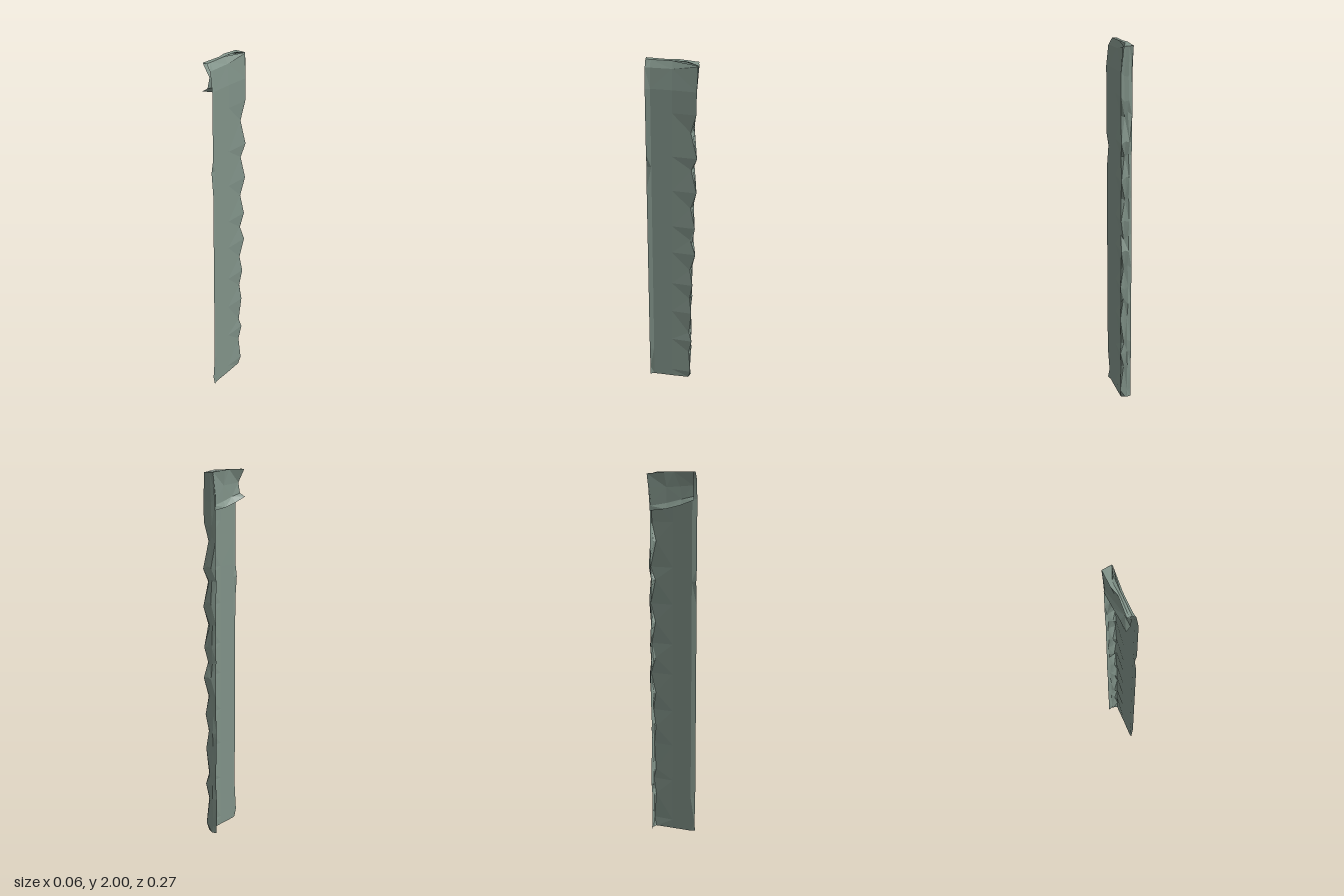
import * as THREE from 'three';

const stone = new THREE.MeshStandardMaterial({ color: 0x82948a, flatShading: true, side: THREE.DoubleSide });
stone.name = 'greyGreenStone';

// Faceted sheet from rows of points; columns run right and rows run up when seen from outside
function sheet(name, rows) {
  const pos = [];
  for (let i = 0; i < rows.length - 1; i++) {
    for (let j = 0; j < rows[i].length - 1; j++) {
      const a = rows[i][j], b = rows[i][j + 1], c = rows[i + 1][j + 1], d = rows[i + 1][j];
      if ((i + j) % 2) pos.push(...a, ...b, ...c, ...a, ...c, ...d);
      else pos.push(...a, ...b, ...d, ...b, ...c, ...d);
    }
  }
  const g = new THREE.BufferGeometry();
  g.setAttribute('position', new THREE.Float32BufferAttribute(pos, 3));
  g.computeVertexNormals();
  const mesh = new THREE.Mesh(g, stone);
  mesh.name = name;
  return mesh;
}

// Height and depth of the chipped corner, from the foot upward
const chips = [
  [0, -0.1], [0.05, -0.113], [0.2, -0.1], [0.29, -0.117], [0.35, -0.1], [0.5, -0.113],
  [0.6, -0.1], [0.7, -0.117], [0.8, -0.1], [0.91, -0.13], [1.0, -0.1], [1.08, -0.125],
  [1.2, -0.1], [1.3, -0.13], [1.43, -0.1], [1.5, -0.13], [1.64, -0.095], [1.74, -0.122], [1.86, -0.123],
];

export function createModel() {
  const group = new THREE.Group();
  group.name = 'stoneSlab';

  let seed = 7;
  const rand = () => (seed = (seed * 16807) % 2147483647) / 2147483647 - 0.5;

  // Broad side: a slightly flared front edge and a rounded-over top
  const side = chips.map(([y, z], i) => {
    const nick = i === 1 || i === 14;
    return [
      [nick ? 0.018 : 0.028, y, 0.133],
      [0.02, y, 0.108],
      [0.022, y, 0.0],
      [z < -0.105 ? 0.03 : 0.022, y, z],
    ];
  });
  side.push([[0.016, 1.965, 0.133], [0.012, 1.965, 0.108], [0.012, 1.965, 0], [0.02, 1.985, -0.126]]);
  side.push([[-0.005, 2, 0.133], [-0.005, 2, 0.108], [-0.003, 2, 0], [0.018, 1.988, -0.131]]);
  group.add(sheet('broadSide', side));

  // Narrow chipped edge, starting at the same corner
  const edge = chips.map(([y, z], i) => {
    const end = i === 0;
    const lift = () => (end ? 0 : rand() * 0.06);
    const bump = z < -0.105 ? 0.008 : -0.012;
    return [
      side[i][3],
      [0.006 + rand() * 0.012, y + lift(), z + bump * 0.7],
      [-0.014 + rand() * 0.012, y + lift(), z + bump],
      [-0.035, y, -0.104 + rand() * 0.008],
    ];
  });
  edge.push([[0.018, 1.988, -0.131], [0.004, 1.99, -0.128], [-0.014, 1.99, -0.126], [-0.035, 1.99, -0.124]]);
  group.add(sheet('chippedEdge', edge));

  // Top cap
  group.add(sheet('topCap', [
    [[-0.03, 2, 0.133], [-0.018, 2, 0.133], [-0.005, 2, 0.133]],
    [[-0.021, 2, 0.02], [-0.013, 1.998, 0.02], [-0.003, 2, 0]],
    [[-0.034, 1.998, -0.03], [-0.016, 1.995, -0.05], [0, 2, -0.075]],
    [[-0.035, 1.99, -0.124], [-0.014, 1.99, -0.126], [0.018, 1.988, -0.131]],
  ]));

  // Hollowed flap under the cap, ending in an outward lip
  group.add(sheet('topFlap', [
    [[-0.035, 1.8, -0.108], [-0.032, 1.81, -0.02], [-0.03, 1.83, 0.06], [-0.033, 1.857, 0.135]],
    [[-0.033, 1.825, -0.11], [-0.016, 1.84, -0.02], [-0.006, 1.86, 0.06], [-0.008, 1.875, 0.125]],
    [[-0.034, 1.92, -0.116], [-0.018, 1.92, -0.02], [-0.008, 1.925, 0.05], [0.0, 1.93, 0.12]],
    [[-0.035, 1.99, -0.124], [-0.034, 1.998, -0.03], [-0.021, 2, 0.02], [-0.03, 2, 0.133]],
  ]));

  return group;
}
